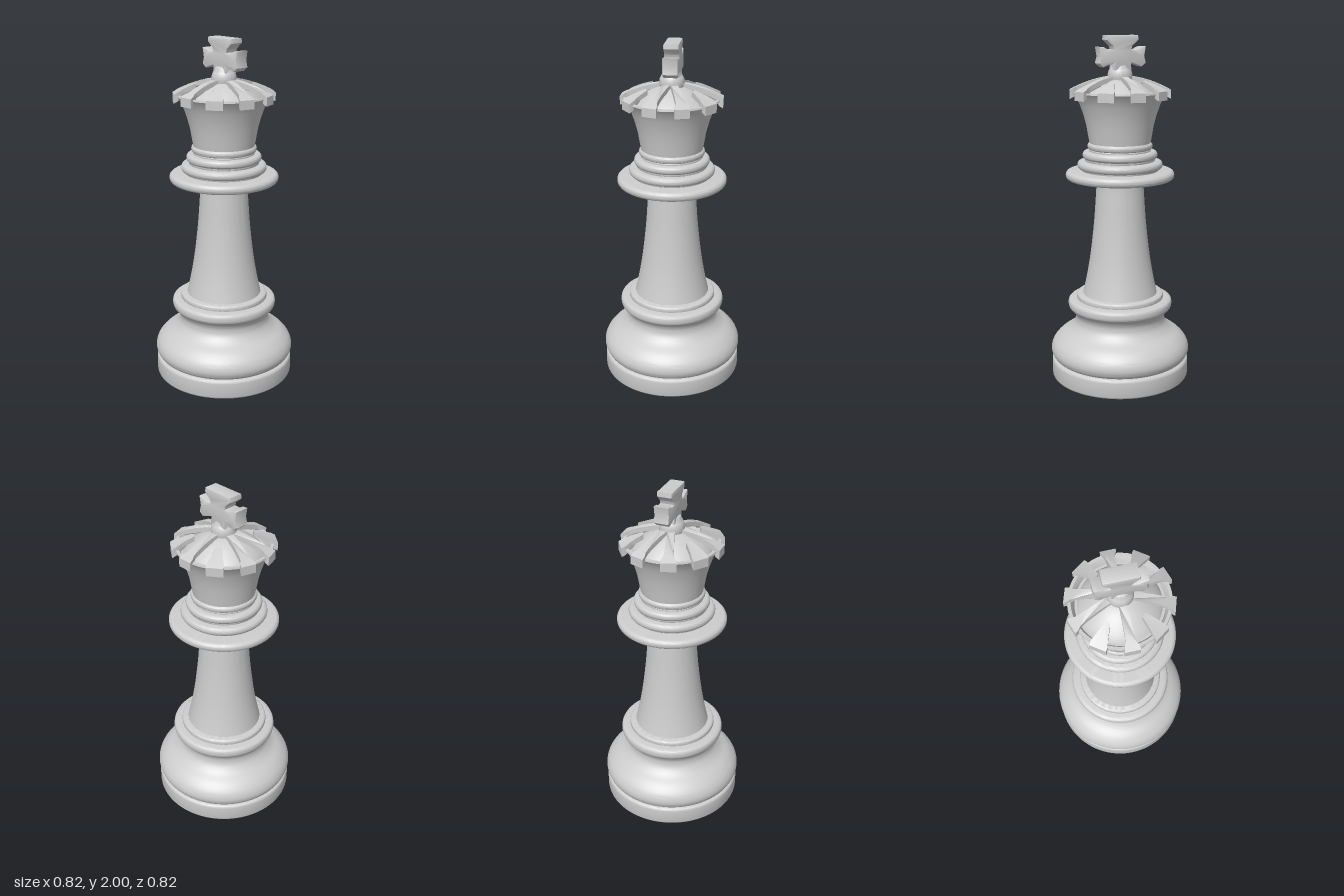
import * as THREE from 'three';
import { toCreasedNormals } from 'three/addons/utils/BufferGeometryUtils.js';

const stone = new THREE.MeshStandardMaterial({ color: 0xcccccc });
stone.name = 'pale grey';

export function createModel() {
  const model = new THREE.Group();
  model.name = 'chessKing';

  function add(name, geometry, crease = 0.7) {
    const mesh = new THREE.Mesh(toCreasedNormals(geometry, crease), stone);
    mesh.name = name;
    model.add(mesh);
    return mesh;
  }

  // Turned part from [radius, height] points, bottom to top; smooth runs a spline through them
  function turned(name, points, smooth = 0) {
    let profile = points.map(([r, y]) => new THREE.Vector2(r, y));
    if (smooth) {
      const curve = new THREE.CatmullRomCurve3(profile.map((p) => new THREE.Vector3(p.x, p.y, 0)));
      profile = curve.getPoints(smooth).map((p) => new THREE.Vector2(Math.max(p.x, 0), p.y));
    }
    return add(name, new THREE.LatheGeometry(profile, 96));
  }

  // Closed disc with a rounded edge of the given corner size
  function ring(name, radius, bottom, top, corner) {
    const pts = [[0, bottom]];
    for (let i = 0; i <= 6; i++) {
      const a = -Math.PI / 2 + (i / 6) * (Math.PI / 2);
      pts.push([radius - corner + corner * Math.cos(a), bottom + corner + corner * Math.sin(a)]);
    }
    for (let i = 0; i <= 6; i++) {
      const a = (i / 6) * (Math.PI / 2);
      pts.push([radius - corner + corner * Math.cos(a), top - corner + corner * Math.sin(a)]);
    }
    pts.push([0, top]);
    turned(name, pts);
  }

  // Base
  ring('plinth', 0.406, 0, 0.117, 0.018);
  turned('baseBulge', [
    [0.375, 0.112], [0.396, 0.128], [0.41, 0.165], [0.399, 0.21], [0.36, 0.255], [0.3, 0.295],
    [0.269, 0.335], [0.265, 0.375], [0.282, 0.408], [0.301, 0.426], [0.306, 0.45],
    [0.299, 0.472], [0.25, 0.482],
  ], 60);
  ring('stemFoot', 0.255, 0.465, 0.51, 0.014);

  // Stem and collars
  turned('stem', [
    [0.22, 0.5], [0.213, 0.53], [0.196, 0.61], [0.18, 0.7], [0.165, 0.81],
    [0.151, 0.94], [0.142, 1.06], [0.136, 1.16], [0.138, 1.2],
  ], 32);
  ring('wideCollar', 0.312, 1.19, 1.242, 0.024);
  ring('collarSpacer', 0.222, 1.235, 1.27, 0.012);
  ring('lowerCollar', 0.244, 1.25, 1.298, 0.022);
  ring('middleSpacer', 0.2, 1.29, 1.32, 0.01);
  ring('middleCollar', 0.214, 1.308, 1.354, 0.021);
  ring('upperSpacer', 0.176, 1.345, 1.37, 0.01);
  ring('upperCollar', 0.186, 1.362, 1.402, 0.018);

  // Flared crown with a recessed channel inside its rim
  turned('crown', [
    [0.0, 1.395], [0.174, 1.395], [0.182, 1.44], [0.192, 1.5], [0.208, 1.56], [0.227, 1.615],
    [0.248, 1.66], [0.268, 1.684], [0.266, 1.693], [0.25, 1.693], [0.238, 1.672],
    [0.232, 1.65], [0.205, 1.65],
  ]);
  turned('crownDome', [
    [0.222, 1.645], [0.208, 1.665], [0.18, 1.692], [0.12, 1.734], [0.06, 1.758], [0, 1.764],
  ], 24);

  // Height of the crown ribs at a given radius
  const ribTop = (r) => 1.779 - 0.98 * r * r;

  // Rib drawn flat as [radius, half width], then arched over the dome
  function rib(name, outline, angle) {
    const right = outline.map(([r, w]) => new THREE.Vector2(r, -w));
    const left = outline.map(([r, w]) => new THREE.Vector2(r, w)).reverse();
    const geometry = new THREE.ExtrudeGeometry(new THREE.Shape([...right, ...left]), {
      depth: 1, bevelEnabled: false,
    });
    const pos = geometry.attributes.position;
    for (let i = 0; i < pos.count; i++) {
      const r = pos.getX(i);
      const thickness = r > 0.255 ? 0.05 : 0.028;
      pos.setZ(i, ribTop(r) - (pos.getZ(i) > 0.5 ? 0 : thickness));
    }
    geometry.rotateX(-Math.PI / 2);
    geometry.rotateY(angle);
    add(name, geometry, 0.6);
  }

  // Ten battlement teeth: six reach the finial, four diagonal ones stop short
  const longRib = [
    [0.04, 0.024], [0.08, 0.02], [0.12, 0.02], [0.17, 0.022], [0.215, 0.024],
    [0.245, 0.028], [0.262, 0.039], [0.284, 0.042],
  ];
  const shortRib = [
    [0.158, 0.014], [0.175, 0.02], [0.2, 0.026], [0.23, 0.034], [0.262, 0.045], [0.284, 0.046],
  ];
  for (let i = 0; i < 10; i++) {
    const degrees = 18 + 36 * i;
    const diagonal = [54, 126, 234, 306].includes(degrees);
    rib(diagonal ? 'shortCrownTooth' : 'crownRib', diagonal ? shortRib : longRib,
      THREE.MathUtils.degToRad(degrees));
  }

  // Finial below the cross
  turned('finial', [
    [0.066, 1.745], [0.07, 1.775], [0.066, 1.8], [0.055, 1.82], [0.044, 1.842], [0, 1.85],
  ], 20);

  // Cross with flared arms
  const b = 0.008;
  const half = [
    [0.045, 1.815], [0.042, 1.858], [0.09, 1.843], [0.112, 1.835], [0.13, 1.85],
    [0.121, 1.885], [0.13, 1.93], [0.112, 1.928], [0.085, 1.913], [0.044, 1.916],
    [0.05, 1.945], [0.087, 1.978], [0.085, 1.992],
  ];
  const outline = [...half, ...half.map(([x, y]) => [-x, y]).reverse()];
  const cross = new THREE.ExtrudeGeometry(
    new THREE.Shape(outline.map(([x, y]) => new THREE.Vector2(x, y))),
    { depth: 0.085 - 2 * b, bevelSize: b, bevelThickness: b, bevelSegments: 2 },
  );
  cross.translate(0, 0, -0.0425 + b - 0.006);
  add('cross', cross, 0.7);

  return model;
}
